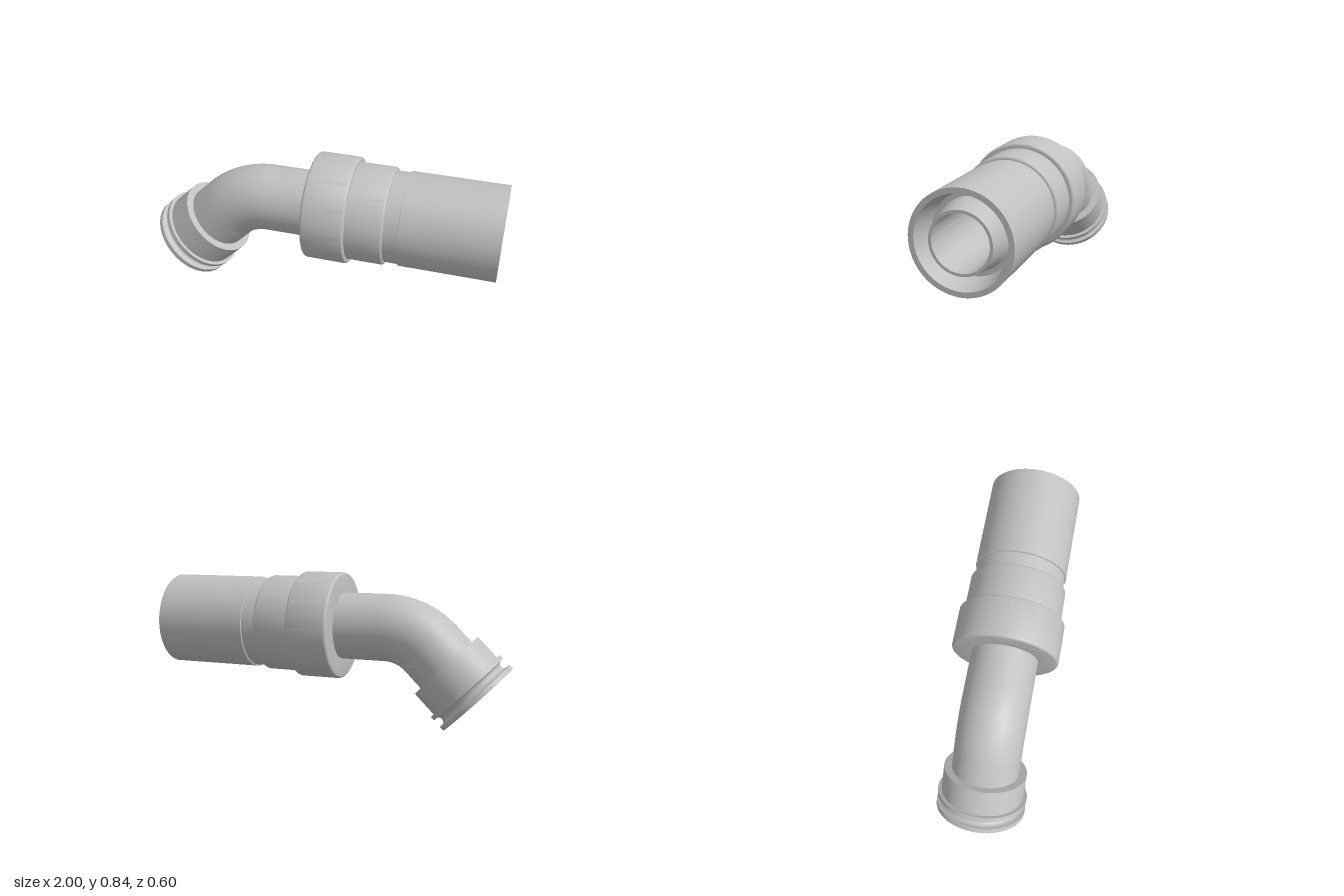
import * as THREE from 'three';
import { toCreasedNormals } from 'three/addons/utils/BufferGeometryUtils.js';

const AXIS_Y = 0.545;    // height of the straight run
const BEND_X = -0.306;   // where the elbow begins
const BEND_R = 0.36;     // elbow centreline radius
const PIPE_R = 0.187;
const BORE_R = 0.145;

// Points of a quarter-round corner in [radius, distance] space
function round(cr, cd, r, a0, a1, n = 6) {
  const pts = [];
  for (let i = 0; i <= n; i++) {
    const a = THREE.MathUtils.degToRad(a0 + (a1 - a0) * i / n);
    pts.push([cr + r * Math.cos(a), cd + r * Math.sin(a)]);
  }
  return pts;
}

// Turned part around its own y axis
function turned(name, profile, material) {
  const points = profile.map(([r, d]) => new THREE.Vector2(r, d));
  const geometry = toCreasedNormals(new THREE.LatheGeometry(points, 96), 0.5);
  const mesh = new THREE.Mesh(geometry, material);
  mesh.name = name;
  return mesh;
}

// Quarter-pipe bend of 45 degrees
function bend(name, radius, material) {
  const mesh = new THREE.Mesh(new THREE.TorusGeometry(BEND_R, radius, 72, 40, Math.PI / 4), material);
  mesh.name = name;
  mesh.rotation.z = Math.PI / 2;
  mesh.position.set(BEND_X, AXIS_Y - BEND_R, 0);
  return mesh;
}

export function createModel() {
  const group = new THREE.Group();
  group.name = 'pipeConnector';
  const grey = new THREE.MeshStandardMaterial({ color: 0xc0c0c0, side: THREE.DoubleSide });
  grey.name = 'light grey';

  // Straight run: pipe, stepped collars, sleeve and the tapered ring recess in its mouth
  const body = turned('straightBody', [
    [PIPE_R, BEND_X],
    [PIPE_R, -0.055],
    ...round(0.285, -0.04, 0.015, -90, 0),
    ...round(0.285, 0.17, 0.015, 0, 90),
    [0.273, 0.185],
    ...round(0.258, 0.375, 0.015, 0, 90),
    [0.255, 0.39],
    [0.255, 0.468],
    [0.263, 0.47],
    [0.263, 1],
    [0.235, 1],
    [0.211, 0.85],
    [0.185, 0.85],
    [0.16, 1],
    [BORE_R, 1],
    [BORE_R, BEND_X],
  ], grey);
  body.rotation.z = -Math.PI / 2;
  body.position.y = AXIS_Y;
  group.add(body);

  // Elbow, outside wall and bore
  group.add(bend('elbow', PIPE_R, grey), bend('elbowBore', BORE_R, grey));

  // Angled plug: end flange, rounded groove, second flange and barrel
  const plug = turned('plugEnd', [
    [0.185, 0],
    [0.25, 0],
    [0.25, 0.026],
    [0.237, 0.026],
    ...round(0.237, 0.05, 0.024, 270, 90, 12),
    [0.25, 0.074],
    [0.25, 0.098],
    [0.23, 0.098],
    [0.23, 0.248],
    [PIPE_R, 0.248],
    [PIPE_R, 0.371],
    [BORE_R, 0.371],
    [BORE_R, 0.15],
    [0.185, 0.15],
    [0.185, 0],
  ], grey);
  plug.rotation.z = -Math.PI / 4;
  plug.position.set(-0.823, 0.177, 0);
  group.add(plug);

  return group;
}
